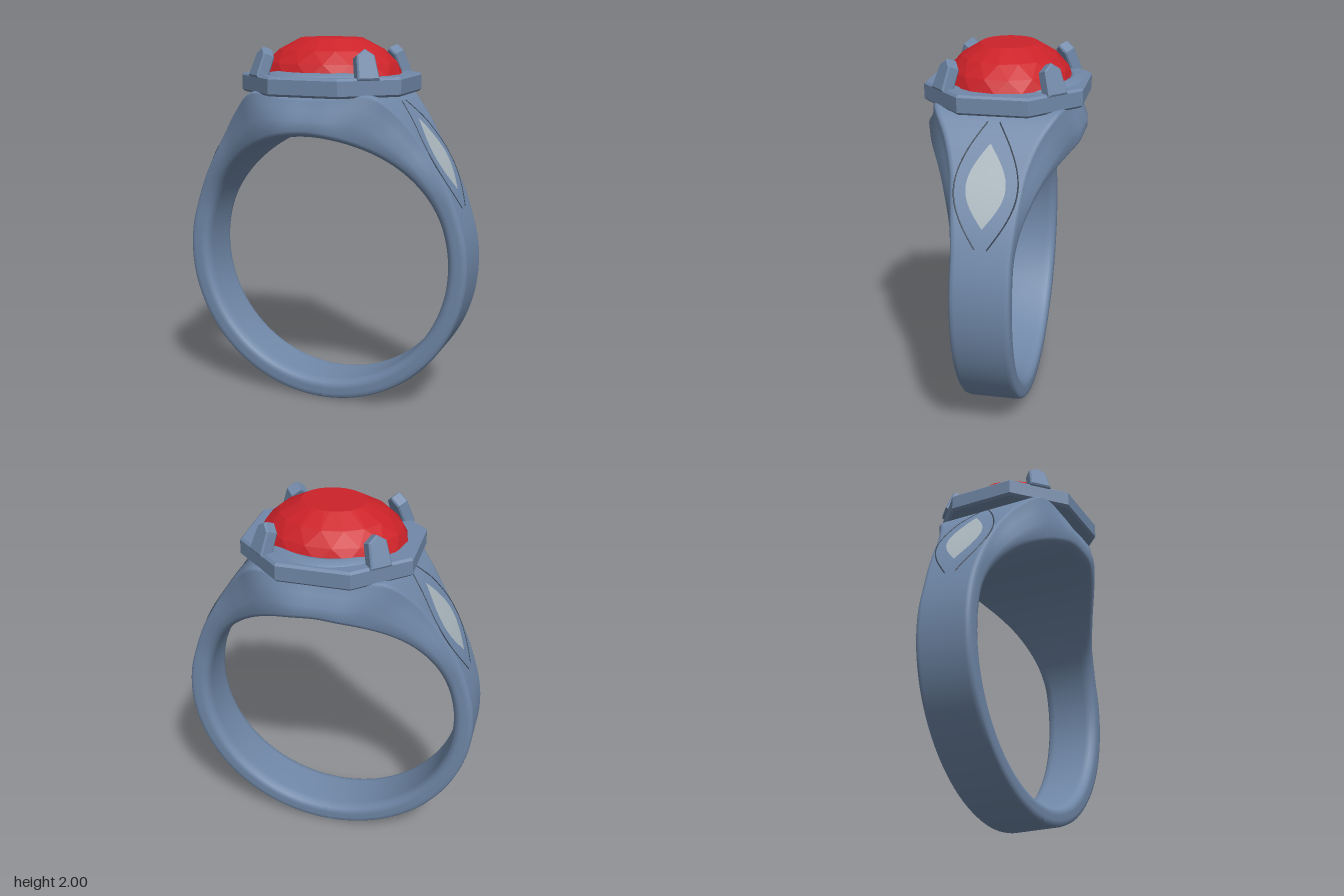
import * as THREE from 'three';
import { ConvexGeometry } from 'three/addons/geometries/ConvexGeometry.js';

const CY = 0.81, R_IN = 0.7, DEG = Math.PI / 180;

// Profile values every 10 degrees from the top of the ring down to its side
const profile = (values) => {
  const curve = new THREE.SplineCurve(values.map((v, i) => new THREE.Vector2(i, v)));
  return (phi) => curve.getPoint(Math.min(Math.abs(phi) / 90, 1)).y;
};
const outerRadius = profile([0.895, 0.915, 0.975, 0.93, 0.875, 0.84, 0.82, 0.81, 0.81, 0.81]);
const sideWidth = profile([0.41, 0.405, 0.365, 0.31, 0.255, 0.21, 0.175, 0.157, 0.155, 0.155]);
const faceWidth = profile([0.36, 0.36, 0.33, 0.25, 0.2, 0.18, 0.165, 0.155, 0.155, 0.155]);

const onRing = (phi, r, z) =>
  new THREE.Vector3(r * Math.sin(phi * DEG), CY + r * Math.cos(phi * DEG), z);

// Surface through rows of points
function loft(rows, closed) {
  const n = rows[0].length, index = [];
  for (let i = 0; i < rows.length - 1; i++) {
    for (let j = 0; j < (closed ? n : n - 1); j++) {
      const k = (j + 1) % n;
      const a = i * n + j, c = i * n + k, b = a + n, d = c + n;
      index.push(a, c, b, b, c, d);
    }
  }
  const geo = new THREE.BufferGeometry().setFromPoints(rows.flat());
  geo.setIndex(index);
  geo.computeVertexNormals();
  return geo;
}

// Rounded cross-section of the band at one angle
function bandSection(phi) {
  const ro = outerRadius(phi), w = sideWidth(phi), f = faceWidth(phi), t = ro - R_IN;
  const half = [
    [f - 0.03, ro], [f - 0.012, ro - 0.004], [f - 0.002, ro - 0.014],
    [f * 0.75 + w * 0.25, ro - 0.3 * t], [w, ro - 0.55 * t],
    [w, R_IN + 0.035], [w - 0.008, R_IN + 0.018], [w - 0.025, R_IN + 0.006], [w - 0.055, R_IN],
  ];
  const left = half.map(([z, r]) => onRing(phi, r, z));
  const right = half.map(([z, r]) => onRing(phi, r, -z)).reverse();
  return [...left, ...right];
}

export function createModel() {
  const group = new THREE.Group();
  const metal = new THREE.MeshStandardMaterial({ color: 0x7088a8 });
  const metalFlat = new THREE.MeshStandardMaterial({ color: 0x7088a8, flatShading: true });
  const dark = new THREE.MeshStandardMaterial({ color: 0x3c4856 });
  const pale = new THREE.MeshStandardMaterial({ color: 0xa8b4bc, side: THREE.DoubleSide });
  const red = new THREE.MeshStandardMaterial({ color: 0xcc2229, flatShading: true });
  const add = (parent, name, geo, mat) => {
    const mesh = new THREE.Mesh(geo, mat);
    mesh.name = name;
    parent.add(mesh);
    return mesh;
  };

  // Band widening into the shoulders and head
  const rows = [];
  for (let phi = -180; phi <= 180; phi += 2.5) rows.push(bandSection(phi));
  add(group, 'band', loft(rows, true), metal);

  // Pointed oval inlay with a groove line on each side, on both shoulders
  for (const side of [0, 1]) {
    const shoulder = new THREE.Group();
    shoulder.name = side ? 'rightShoulder' : 'leftShoulder';
    shoulder.rotation.y = side * Math.PI;
    const inlay = [];
    for (let i = 0; i <= 24; i++) {
      const phi = 32 + (28 * i) / 24, w = 0.1 * Math.sin((Math.PI * i) / 24);
      inlay.push([-w, 0, w].map((z) => onRing(phi, outerRadius(phi) + 0.003, z)));
    }
    add(shoulder, 'inlay', loft(inlay, false), pale);
    for (const s of [-1, 1]) {
      const pts = [];
      for (let i = 0; i <= 20; i++) {
        const phi = 25 + (42 * i) / 20;
        const z = 0.03 + 0.13 * Math.sin((Math.PI * i) / 20);
        pts.push(onRing(phi, outerRadius(phi) - 0.001, s * z));
      }
      const path = new THREE.CatmullRomCurve3(pts);
      add(shoulder, 'groove', new THREE.TubeGeometry(path, 60, 0.004, 6), dark);
    }
    group.add(shoulder);
  }

  // Octagonal plate with an oval opening
  const corners = [[0.45, 0.18], [0.19, 0.415], [-0.19, 0.415], [-0.45, 0.18]];
  const outline = [...corners, ...corners.map(([x, y]) => [-x, -y])];
  const shape = new THREE.Shape(outline.map(([x, y]) => new THREE.Vector2(x, y)));
  shape.holes.push(new THREE.Path().absellipse(0, 0, 0.35, 0.33, 0, Math.PI * 2, true));
  const plate = new THREE.ExtrudeGeometry(shape, {
    depth: 0.076, bevelThickness: 0.012, bevelSize: 0.012, bevelOffset: -0.012,
    bevelSegments: 1, curveSegments: 32,
  });
  plate.rotateX(-Math.PI / 2).translate(0, 1.727, 0);
  add(group, 'plate', plate, metalFlat);

  // Low raised seat around the stone
  const seat = new THREE.LatheGeometry(
    [[1, 1.81], [0.97, 1.822], [0.88, 1.836], [0.8, 1.83], [0.8, 1.8]]
      .map(([r, y]) => new THREE.Vector2(r, y)), 48);
  seat.scale(0.36, 1, 0.395);
  add(group, 'seat', seat, metal);

  // Faceted oval stone: staggered rings of corners
  const stone = [new THREE.Vector3(0, 1.62, 0)];
  [[1, 1.81, 16], [0.92, 1.875, 16], [0.74, 1.94, 16], [0.44, 2.0, 32]].forEach(([r, y, n], k) => {
    for (let i = 0; i < n; i++) {
      const a = ((i + (k % 2) / 2) / n) * Math.PI * 2;
      stone.push(new THREE.Vector3(0.387 * r * Math.cos(a), y, 0.339 * r * Math.sin(a)));
    }
  });
  add(group, 'stone', new ConvexGeometry(stone), red);

  // Four pointed prongs leaning over the stone
  const prongShape = new THREE.Shape(
    [[-0.06, -0.02], [0.06, -0.02], [0.05, 0.11], [0, 0.145], [-0.05, 0.11]]
      .map(([x, y]) => new THREE.Vector2(x, y)));
  const prongGeo = new THREE.ExtrudeGeometry(prongShape, {
    depth: 0.05, bevelThickness: 0.008, bevelSize: 0.008, bevelOffset: -0.008, bevelSegments: 1,
  });
  prongGeo.translate(0, 0, -0.025).rotateX(-0.38);
  for (const sx of [-1, 1]) {
    for (const sz of [-1, 1]) {
      const prong = add(group, 'prong', prongGeo, metalFlat);
      prong.position.set(sx * 0.3, 1.815, sz * 0.285);
      prong.rotation.y = Math.atan2(sx * 0.235, sz * 0.26);
    }
  }
  return group;
}
